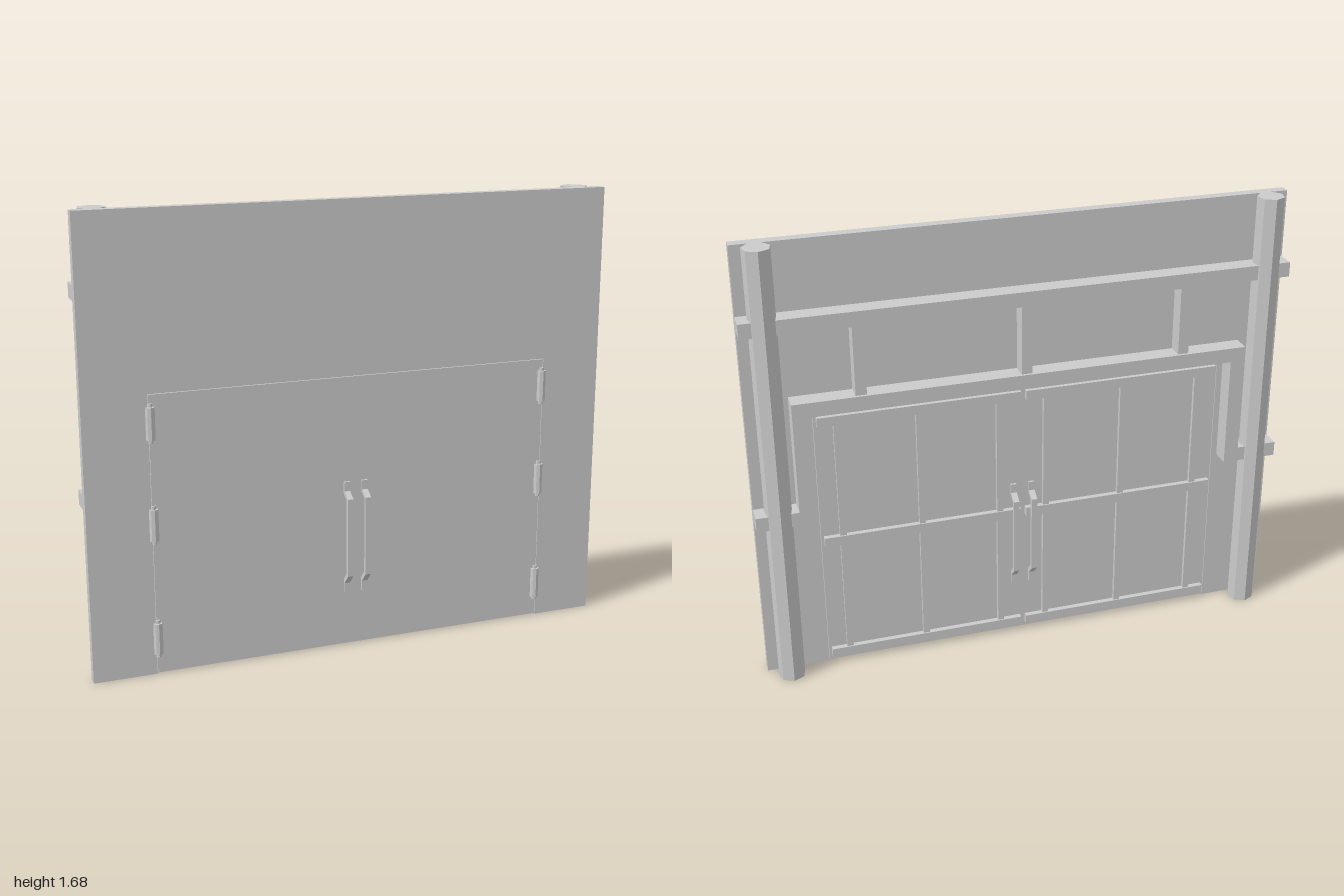
import * as THREE from 'three';

const material = new THREE.MeshStandardMaterial({ color: 0xcccccc, flatShading: true });
const BACK = 0.005, FRONT = 0.044;   // faces of the wall panel
const BEAM_BACK = -0.065, BEAM = 0.055;

function add(parent, name, geometry) {
  const mesh = new THREE.Mesh(geometry, material);
  mesh.name = name;
  parent.add(mesh);
  return mesh;
}

// Box given by its lower and upper limits on each axis
function box(parent, name, x0, x1, y0, y1, z0, z1) {
  const mesh = add(parent, name, new THREE.BoxGeometry(x1 - x0, y1 - y0, z1 - z0));
  mesh.position.set((x0 + x1) / 2, (y0 + y1) / 2, (z0 + z1) / 2);
  return mesh;
}

function polygon(points) {
  return new THREE.Shape(points.map(([x, y]) => new THREE.Vector2(x, y)));
}

// Bent pull handle: side profile (distance from door, height) extruded across its width
function handleGeometry() {
  const profile = polygon([
    [0, 0.21], [0.009, 0.21], [0.009, 0.25], [0.044, 0.287], [0.044, 0.588],
    [0.009, 0.61], [0.009, 0.645], [0, 0.645], [0, 0.602], [0.031, 0.581],
    [0.031, 0.296], [0, 0.264],
  ]);
  const g = new THREE.ExtrudeGeometry(profile, { depth: 0.022, bevelEnabled: false });
  return g.translate(0, 0, -0.011);
}

export function createModel() {
  const model = new THREE.Group();
  model.name = 'doubleDoorWall';

  // Wall panel with the door opening cut up from the floor
  const wall = polygon([
    [-1, 0], [-0.767, 0], [-0.767, 1.042], [0.767, 1.042],
    [0.767, 0], [1, 0], [1, 1.68], [-1, 1.68],
  ]);
  add(model, 'wallPanel', new THREE.ExtrudeGeometry(wall, { depth: FRONT - BACK, bevelEnabled: false }))
    .position.z = BACK;

  // Rear framing shared by both sides
  box(model, 'topBeam', -1, 1, 1.375, 1.43, BEAM_BACK, BACK);
  box(model, 'doorHeader', -0.845, 0.845, 1.06, 1.06 + BEAM, BEAM_BACK, BACK);
  for (const x of [-0.6, 0, 0.6]) {
    box(model, 'stud', x - 0.02, x + 0.02, 1.06 + BEAM, 1.375, -0.055, BACK);
  }

  const handle = handleGeometry();
  for (const s of [-1, 1]) {
    const side = new THREE.Group();
    side.name = s > 0 ? 'leftSide' : 'rightSide';
    model.add(side);
    const sideBox = (name, a, b, ...rest) =>
      box(side, name, Math.min(s * a, s * b), Math.max(s * a, s * b), ...rest);

    // Seven-sided column, one edge pointing straight back
    const column = add(side, 'column', new THREE.CylinderGeometry(0.05, 0.05, 1.68, 7));
    column.rotation.y = Math.PI;
    column.position.set(s * 0.915, 0.84, -0.039);

    // Side beam and the post that carries the header
    sideBox('sideBeam', 0.79, 1, 0.64, 0.695, BEAM_BACK, BACK);
    sideBox('framePost', 0.79, 0.845, 0.695, 1.06, BEAM_BACK, BACK);

    // Door leaf with its rear grid of rails and stiles
    sideBox('doorLeaf', 0, 0.765, 0.004, 1.04, BACK, FRONT);
    for (const y of [0.04, 0.525, 1.01]) {
      sideBox('doorRail', 0.01, 0.755, y - 0.018, y + 0.018, -0.015, BACK);
    }
    for (const x of [0.09, 0.388, 0.685]) {
      sideBox('doorStile', x - 0.012, x + 0.012, 0.04, 1.01, -0.01, BACK);
    }

    // Pull handles on both faces
    for (const front of [true, false]) {
      const pull = add(side, front ? 'frontHandle' : 'backHandle', handle);
      pull.rotation.y = front ? -Math.PI / 2 : Math.PI / 2;
      pull.position.set(s * 0.035, 0, front ? FRONT : BACK);
    }

    // Hinges: a slim pin inside a wider eight-sided barrel
    for (const y of [0.1375, 0.5675, 0.9375]) {
      const pin = add(side, 'hingePin', new THREE.CylinderGeometry(0.009, 0.009, 0.142, 8));
      const barrel = add(side, 'hingeBarrel', new THREE.CylinderGeometry(0.017, 0.017, 0.118, 8));
      for (const part of [pin, barrel]) part.position.set(s * 0.76, y, FRONT + 0.001);
    }
  }
  return model;
}
